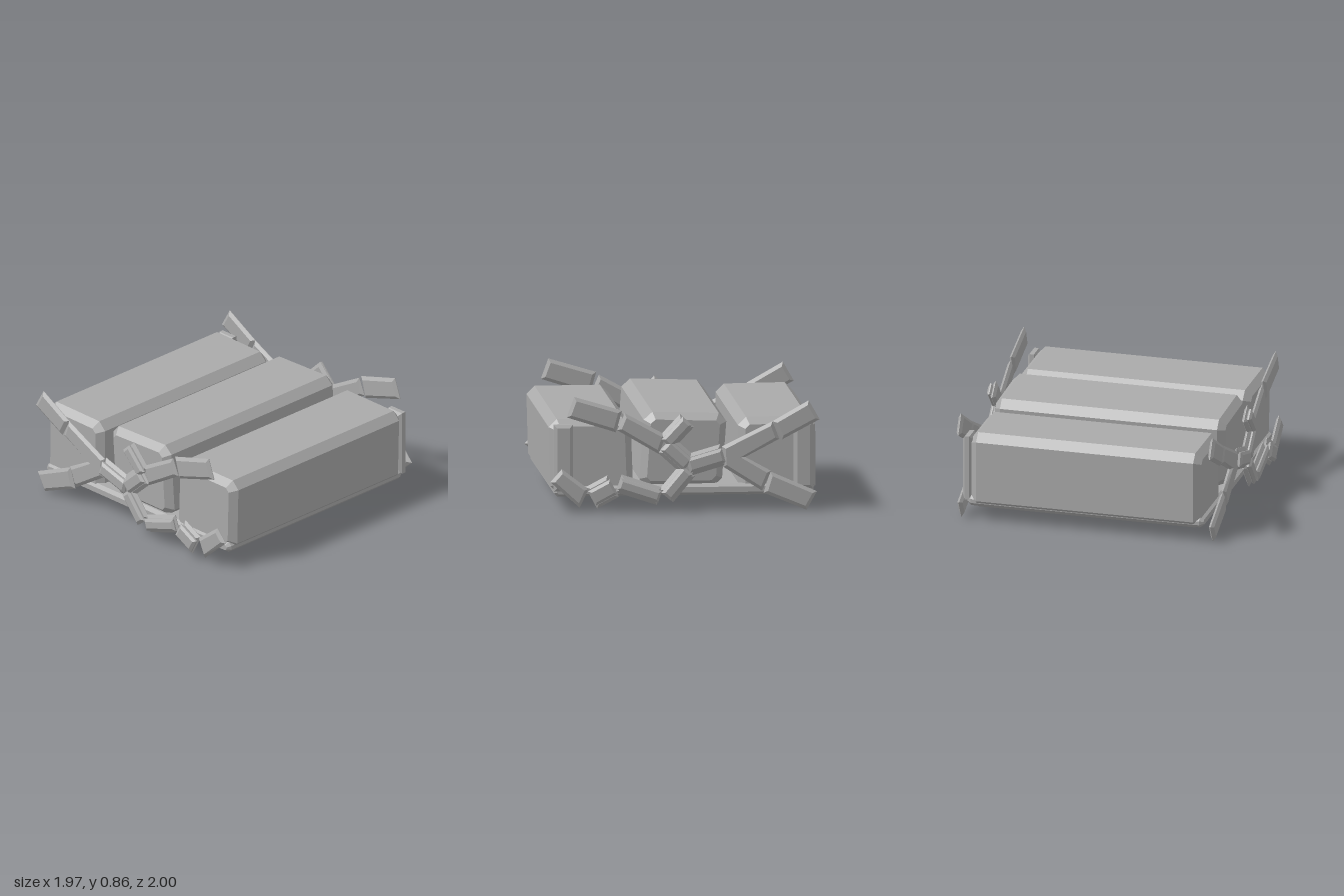
import * as THREE from 'three';

const grey = new THREE.MeshStandardMaterial({ color: 0xaaaaaa });
grey.name = 'grey';

// Outline from corner points, with each corner optionally cut off.
function outline(points, cut = 0) {
  const corners = points.map(([x, y]) => new THREE.Vector2(x, y));
  if (!cut) return new THREE.Shape(corners);
  const n = corners.length;
  return new THREE.Shape(corners.flatMap((c, i) =>
    [corners[(i + n - 1) % n], corners[(i + 1) % n]].map((to) =>
      c.clone().add(to.clone().sub(c).setLength(cut)))));
}

// Solid between z0 and z1 with bevelled ends; the outline is its full size.
function slab(name, points, z0, z1, { cut = 0, inset = 0.025, bevel = 0.018 } = {}) {
  const geometry = new THREE.ExtrudeGeometry(outline(points, cut), {
    depth: z1 - z0 - 2 * bevel,
    bevelThickness: bevel,
    bevelSize: inset,
    bevelOffset: -inset,
    bevelSegments: 1,
  });
  geometry.translate(0, 0, z0 + bevel);
  const mesh = new THREE.Mesh(geometry, grey);
  mesh.name = name;
  return mesh;
}

// Straight plank from a to b, given as four corners.
function strip([ax, ay], [bx, by], width) {
  const length = Math.hypot(bx - ax, by - ay);
  const nx = (-(by - ay) / length) * width / 2;
  const ny = ((bx - ax) / length) * width / 2;
  return [[ax + nx, ay + ny], [ax - nx, ay - ny], [bx - nx, by - ny], [bx + nx, by + ny]];
}

const rect = (x0, x1, y0, y1) => [[x0, y0], [x1, y0], [x1, y1], [x0, y1]];

export function createModel() {
  const model = new THREE.Group();
  model.name = 'panelledBlock';

  // Three long bevelled blocks
  const blocks = {
    leftBlock: [[-0.97, 0.105], [-0.4, 0.105], [-0.4, 0.675], [-0.965, 0.68]],
    middleBlock: [[-0.28, 0.17], [0.325, 0.17], [0.285, 0.725], [-0.32, 0.705]],
    rightBlock: [[0.365, 0.125], [0.97, 0.125], [0.985, 0.68], [0.385, 0.68]],
  };
  for (const [name, points] of Object.entries(blocks)) {
    model.add(slab(name, points, -0.87, 0.87, { cut: 0.06, inset: 0.05, bevel: 0.05 }));
  }

  // Base plate joining the blocks
  model.add(slab('basePlate', rect(-0.95, 0.95, 0.115, 0.195), -0.895, 0.89,
    { cut: 0.025, inset: 0.02, bevel: 0.03 }));

  // Upright posts at the back corners
  for (const x of [-0.87, 0.885]) {
    model.add(slab('backPost', rect(x - 0.07, x + 0.07, 0.16, 0.65), -0.93, -0.86));
  }

  // Single-layer planks and the forked plate
  const planks = {
    upperLeftPlank: [[-0.985, 0.67], [-0.71, 0.525], [-0.64, 0.66], [-0.905, 0.81]],
    forkPlate: [[-0.64, 0.66], [-0.69, 0.53], [-0.44, 0.4], [-0.63, 0.295],
      [-0.565, 0.15], [-0.28, 0.33], [-0.27, 0.48]],
    lowerLeftPlank: [[-0.965, 0.14], [-0.89, 0.005], [-0.575, 0.135], [-0.625, 0.29]],
    upperRightInnerPlank: [[0.14, 0.57], [0.19, 0.43], [0.495, 0.61], [0.44, 0.735]],
    upperRightOuterPlank: [[0.46, 0.755], [0.505, 0.595], [0.865, 0.71], [0.81, 0.86]],
    lowerRightEndPlank: [[0.705, 0.18], [0.77, 0.045], [0.985, 0.235], [0.9, 0.33]],
  };

  // Links with a second, narrower layer: start, end, width
  const links = [
    [[-0.28, 0.42], [-0.02, 0.345], 0.16],
    [[-0.02, 0.35], [0.145, 0.5], 0.16],
    [[-0.015, 0.675], [0.14, 0.51], 0.14],
    [[-0.02, 0.31], [0.14, 0.12], 0.14],
    [[0.185, 0.12], [0.485, 0.22], 0.135],
    [[0.525, 0.2], [0.685, 0.115], 0.18],
  ];

  // The same pattern stands at the front and at the back
  for (const [name, side] of [['frontPattern', 1], ['backPattern', -1]]) {
    const pattern = new THREE.Group();
    pattern.name = name;
    const layer = (part, points, near, far, options) => pattern.add(
      slab(part, points, side > 0 ? near : -far, side > 0 ? far : -near, options));
    for (const [part, points] of Object.entries(planks)) layer(part, points, 0.93, 0.97);
    for (const [a, b, width] of links) {
      layer('linkBase', strip(a, b, width), 0.93, 0.97);
      layer('linkRidge', strip(a, b, width * 0.66), 0.96, 1, { inset: 0.02, bevel: 0.015 });
    }
    model.add(pattern);
  }
  return model;
}
